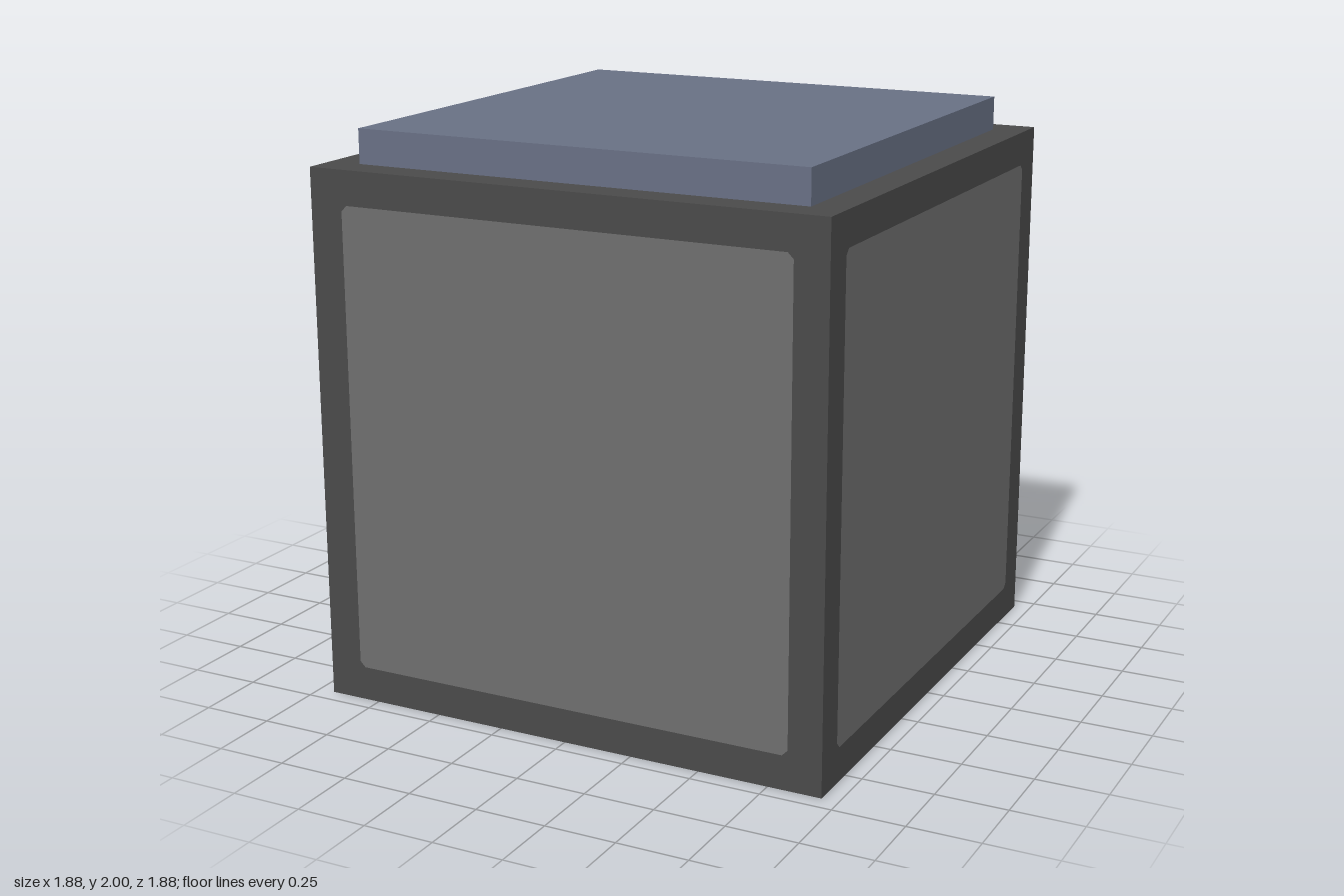
import * as THREE from 'three';

const SIZE = 1.88, HALF = SIZE / 2;
const PANEL = 0.82; // half width of the side panels and the cap
const CAP_HEIGHT = 0.12;

// Square outline with small cut corners
function squarePoints(half, cut) {
  const inner = half - cut;
  return [
    [-inner, -half], [inner, -half], [half, -inner], [half, inner],
    [inner, half], [-inner, half], [-half, inner], [-half, -inner],
  ].map(([x, y]) => new THREE.Vector2(x, y));
}

export function createModel() {
  const frameGrey = new THREE.MeshStandardMaterial({ color: 0x4a4a4a });
  frameGrey.name = 'frameGrey';
  const panelGrey = new THREE.MeshStandardMaterial({ color: 0x6e6e6e });
  panelGrey.name = 'panelGrey';
  const slateBlue = new THREE.MeshStandardMaterial({ color: 0x687084 });
  slateBlue.name = 'slateBlue';

  const model = new THREE.Group();
  model.name = 'cappedCube';

  const add = (parent, name, geometry, material) => {
    const mesh = new THREE.Mesh(geometry, material);
    mesh.name = name;
    parent.add(mesh);
    return mesh;
  };

  // Side face: a square frame with a flush inset panel
  const frameShape = new THREE.Shape([
    [-HALF, -HALF], [HALF, -HALF], [HALF, HALF], [-HALF, HALF],
  ].map(([x, y]) => new THREE.Vector2(x, y)));
  const corners = squarePoints(PANEL, 0.02);
  frameShape.holes.push(new THREE.Path(corners));
  const frameGeometry = new THREE.ShapeGeometry(frameShape);
  const panelGeometry = new THREE.ShapeGeometry(new THREE.Shape(corners));

  ['front', 'left', 'back', 'right'].forEach((side, i) => {
    const face = new THREE.Group();
    face.name = side + 'Side';
    add(face, side + 'Frame', frameGeometry, frameGrey).position.z = HALF;
    add(face, side + 'Panel', panelGeometry, panelGrey).position.z = HALF;
    face.position.y = HALF;
    face.rotation.y = i * Math.PI / 2;
    model.add(face);
  });

  // Top and bottom faces of the cube
  const square = new THREE.PlaneGeometry(SIZE, SIZE);
  const top = add(model, 'topFace', square, frameGrey);
  top.rotation.x = -Math.PI / 2;
  top.position.y = SIZE;
  const bottom = add(model, 'bottomFace', square, slateBlue);
  bottom.rotation.x = Math.PI / 2;

  // Raised cap
  const cap = new THREE.BoxGeometry(PANEL * 2 + 0.005, CAP_HEIGHT, PANEL * 2 + 0.005);
  add(model, 'cap', cap, slateBlue).position.y = SIZE + CAP_HEIGHT / 2;

  return model;
}
